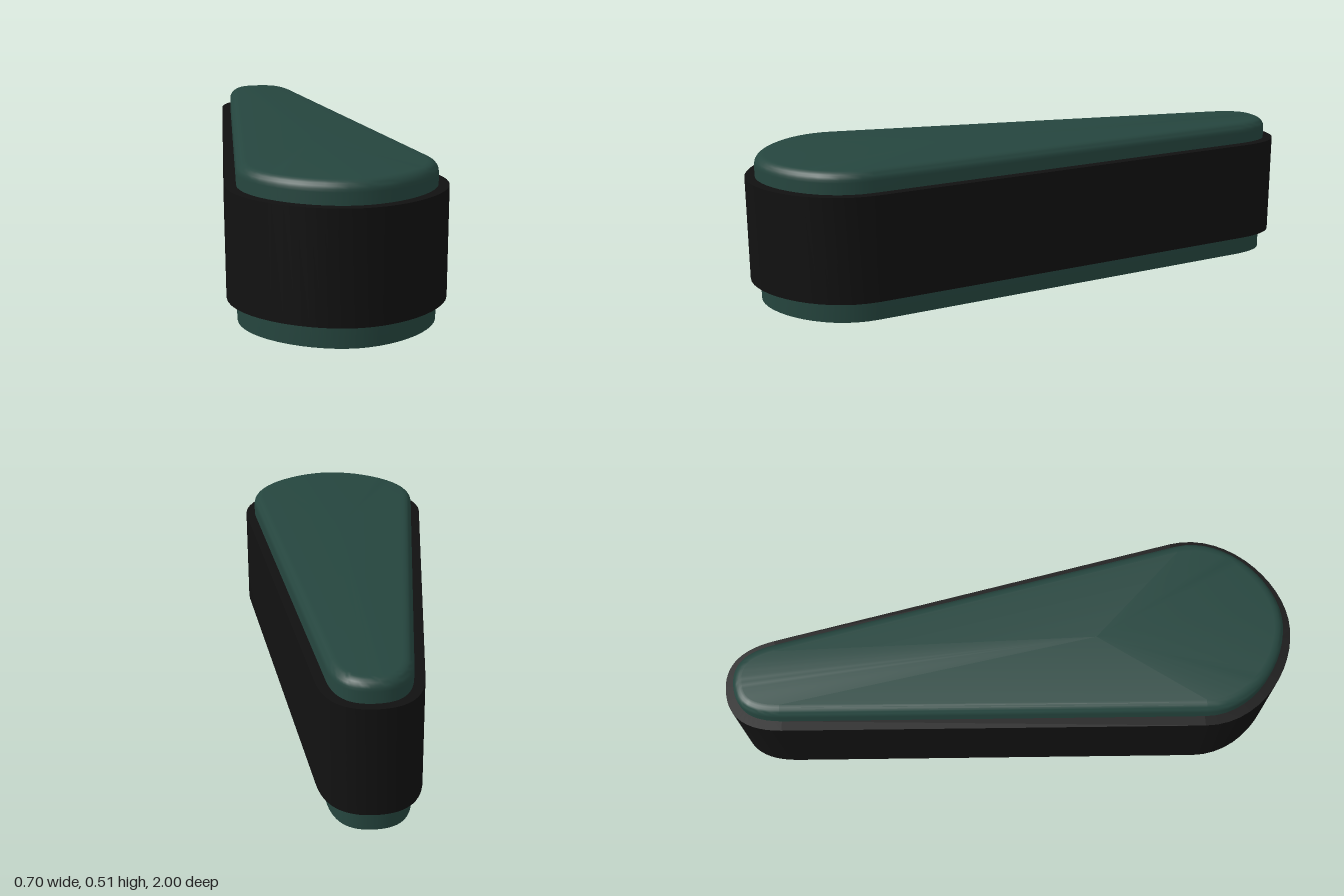
import * as THREE from 'three';
import { toCreasedNormals } from 'three/addons/utils/BufferGeometryUtils.js';

// Teardrop outline in (x, z): narrow at the back, wide at the front
function teardrop() {
  const path = new THREE.Path();
  path.moveTo(0, -1);
  path.bezierCurveTo(0.08, -1, 0.148, -0.96, 0.167, -0.82);
  path.lineTo(0.348, 0.63);
  path.bezierCurveTo(0.373, 0.83, 0.17, 0.995, 0, 0.995);
  const half = path.getPoints(14);
  const mirrored = half.slice(1, -1).reverse().map((p) => new THREE.Vector2(-p.x, p.y));
  return [...half, ...mirrored];
}

// Move the outline inwards along its normals
function inset(points, distance) {
  const n = points.length;
  return points.map((p, i) => {
    const before = p.clone().sub(points[(i + n - 1) % n]).normalize();
    const after = points[(i + 1) % n].clone().sub(p).normalize();
    const t = before.add(after).normalize();
    return new THREE.Vector2(p.x - t.y * distance, p.y + t.x * distance);
  });
}

// Sweep a profile of [inset, y] steps around the outline; inset null means the centre
function loft(profile) {
  const outline = teardrop();
  const n = outline.length;
  const rings = profile.map(([d, y]) => {
    const ring = d === null ? outline.map(() => new THREE.Vector2(0, 0.3)) : inset(outline, d);
    return ring.map((p) => [p.x, y, p.y]);
  });
  const positions = [];
  for (let j = 0; j < rings.length - 1; j++) {
    for (let i = 0; i < n; i++) {
      const k = (i + 1) % n;
      const a = rings[j][i], b = rings[j][k], c = rings[j + 1][k], d = rings[j + 1][i];
      if (profile[j + 1][0] !== null) positions.push(...a, ...d, ...c);
      if (profile[j][0] !== null) positions.push(...a, ...c, ...b);
    }
  }
  const geometry = new THREE.BufferGeometry();
  geometry.setAttribute('position', new THREE.Float32BufferAttribute(positions, 3));
  geometry.computeVertexNormals();
  return toCreasedNormals(geometry, 0.6);
}

export function createModel() {
  const group = new THREE.Group();
  const add = (name, profile, color) => {
    const mesh = new THREE.Mesh(loft(profile), new THREE.MeshStandardMaterial({ color }));
    mesh.name = name;
    group.add(mesh);
  };

  // Core: flat base, straight wall, rounded top edge
  const wall = 0.034, radius = 0.035, height = 0.51;
  const core = [[null, 0], [wall, 0]];
  for (let i = 0; i <= 6; i++) {
    const a = (i / 6) * Math.PI / 2;
    core.push([wall + radius * (1 - Math.cos(a)), height - radius * (1 - Math.sin(a))]);
  }
  core.push([null, height]);
  add('core', core, 0x25453e);

  // Band wrapped around the middle of the core
  add('band', [[0, 0.075], [0, 0.436], [wall, 0.436], [wall, 0.075], [0, 0.075]], 0x111111);

  return group;
}
